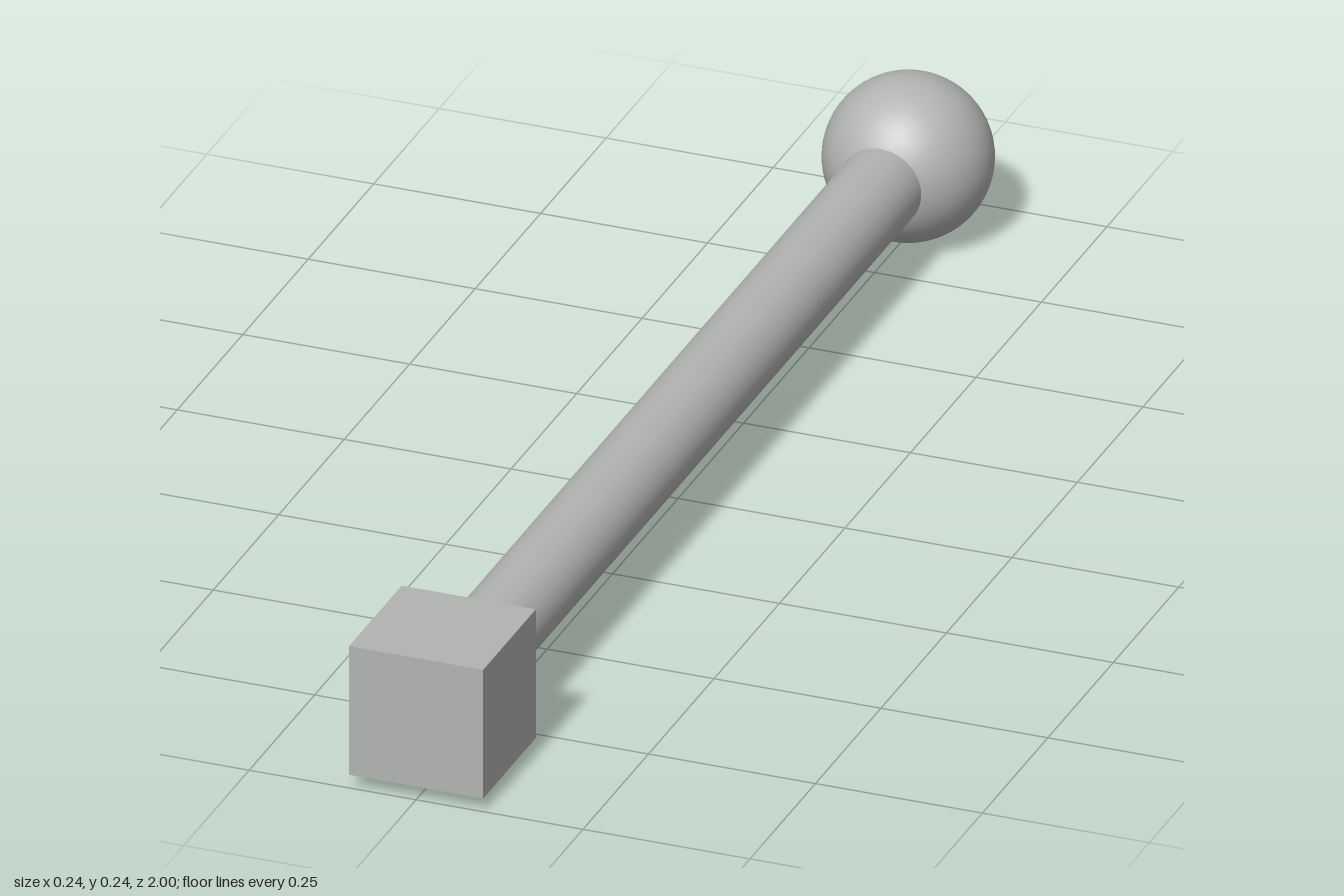
import * as THREE from 'three';

export function createModel() {
  const group = new THREE.Group();
  const grey = new THREE.MeshStandardMaterial({ color: 0xb2b4b2 });
  grey.name = 'grey';
  const axisY = 0.121; // height of the shared long axis

  const add = (name, geometry, z) => {
    const mesh = new THREE.Mesh(geometry, grey);
    mesh.name = name;
    mesh.position.set(0, axisY, z);
    group.add(mesh);
  };

  // Square block at the front end
  add('endBlock', new THREE.BoxGeometry(0.201, 0.201, 0.201), 0.8995);

  // Round rod, running from the block into the ball
  const rodFront = 0.82, rodBack = -0.86;
  add('rod', new THREE.CylinderGeometry(0.0605, 0.0605, rodFront - rodBack, 64).rotateX(Math.PI / 2),
    (rodFront + rodBack) / 2);

  // Ball at the back end
  add('endBall', new THREE.SphereGeometry(0.121, 64, 40), -0.879);

  return group;
}
